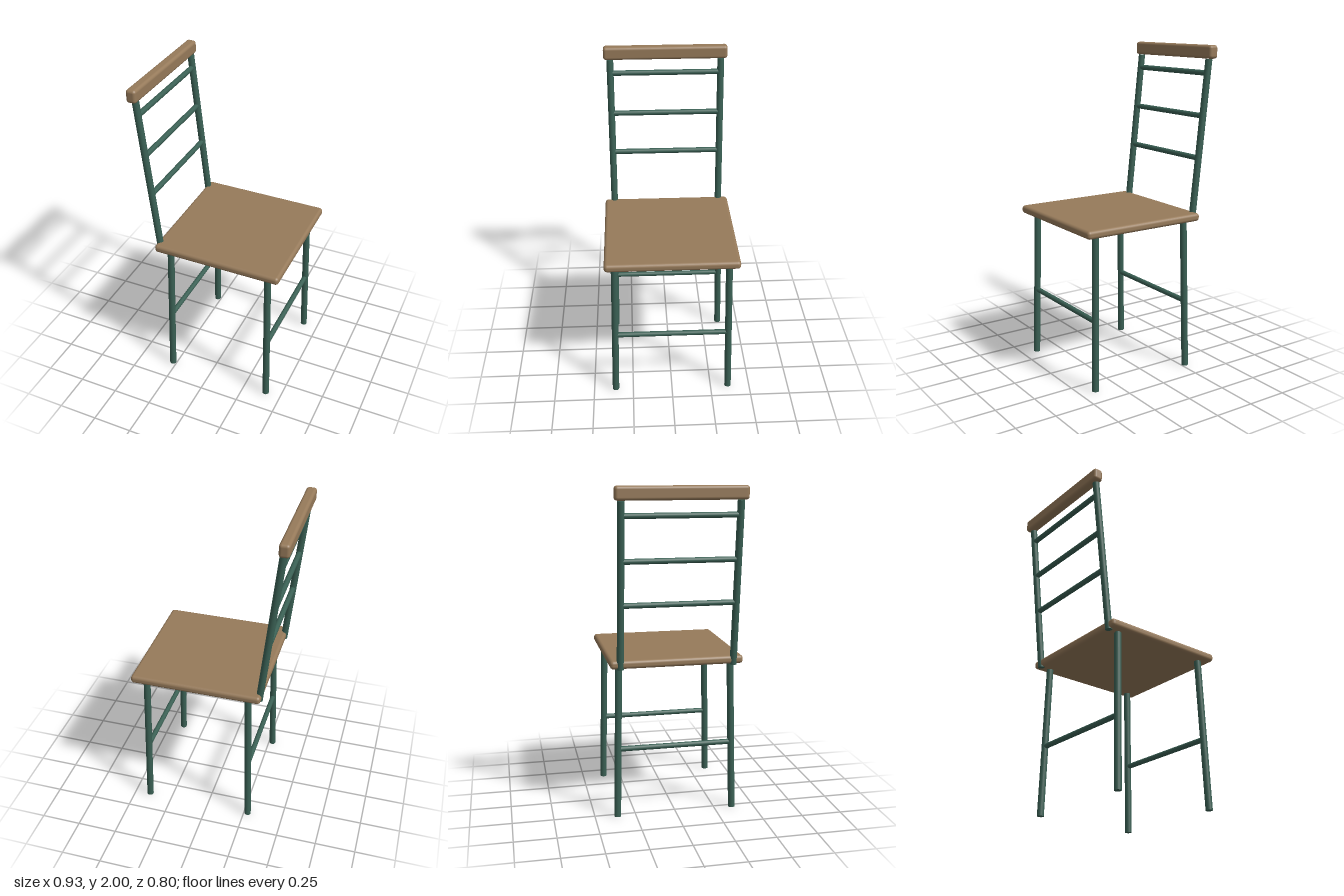
import * as THREE from 'three';
import { RoundedBoxGeometry } from 'three/addons/geometries/RoundedBoxGeometry.js';

export function createModel() {
  const group = new THREE.Group();
  const wood = new THREE.MeshStandardMaterial({ color: 0x967a5a });
  wood.name = 'brown wood';
  const paint = new THREE.MeshStandardMaterial({ color: 0x3a6054 });
  paint.name = 'green paint';

  // Rounded wooden board given by its size and centre
  function board(name, size, centre, radius) {
    const mesh = new THREE.Mesh(new RoundedBoxGeometry(...size, 4, radius), wood);
    mesh.name = name;
    mesh.position.set(...centre);
    group.add(mesh);
  }

  // Straight round bar between two points
  function bar(name, from, to, radius) {
    const a = new THREE.Vector3(...from);
    const b = new THREE.Vector3(...to);
    const dir = b.clone().sub(a);
    const mesh = new THREE.Mesh(new THREE.CylinderGeometry(radius, radius, dir.length(), 16), paint);
    mesh.name = name;
    mesh.position.copy(a).add(b).multiplyScalar(0.5);
    mesh.quaternion.setFromUnitVectors(new THREE.Vector3(0, 1, 0), dir.normalize());
    group.add(mesh);
  }

  board('seat', [0.805, 0.05, 0.804], [0.0625, 0.97, 0], 0.02);
  board('topRail', [0.062, 0.08, 0.764], [-0.437, 1.96, 0], 0.018);

  // Splayed legs and uprights of the backrest
  for (const [side, s] of [['Left', 1], ['Right', -1]]) {
    bar('seatFrontLeg' + side, [0.40, 0.002, 0.362 * s], [0.38, 0.942, 0.342 * s], 0.021);
    bar('seatBackLeg' + side, [-0.275, 0.002, 0.362 * s], [-0.257, 0.942, 0.342 * s], 0.021);
    bar('backPost' + side, [-0.324, 0.942, 0.342 * s], [-0.429, 1.918, 0.342 * s], 0.021);
  }

  // Crossbars between each pair of legs
  bar('frontStretcher', [0.391, 0.432, -0.345], [0.391, 0.432, 0.345], 0.016);
  bar('backStretcher', [-0.267, 0.432, -0.345], [-0.267, 0.432, 0.345], 0.016);

  // Backrest rungs follow the lean of the posts
  [1.325, 1.58, 1.835].forEach((y, i) => {
    const x = -0.324 - 0.105 * (y - 0.942) / 0.976;
    bar('backRung' + (i + 1), [x, y, -0.335], [x, y, 0.335], 0.0165);
  });

  return group;
}
